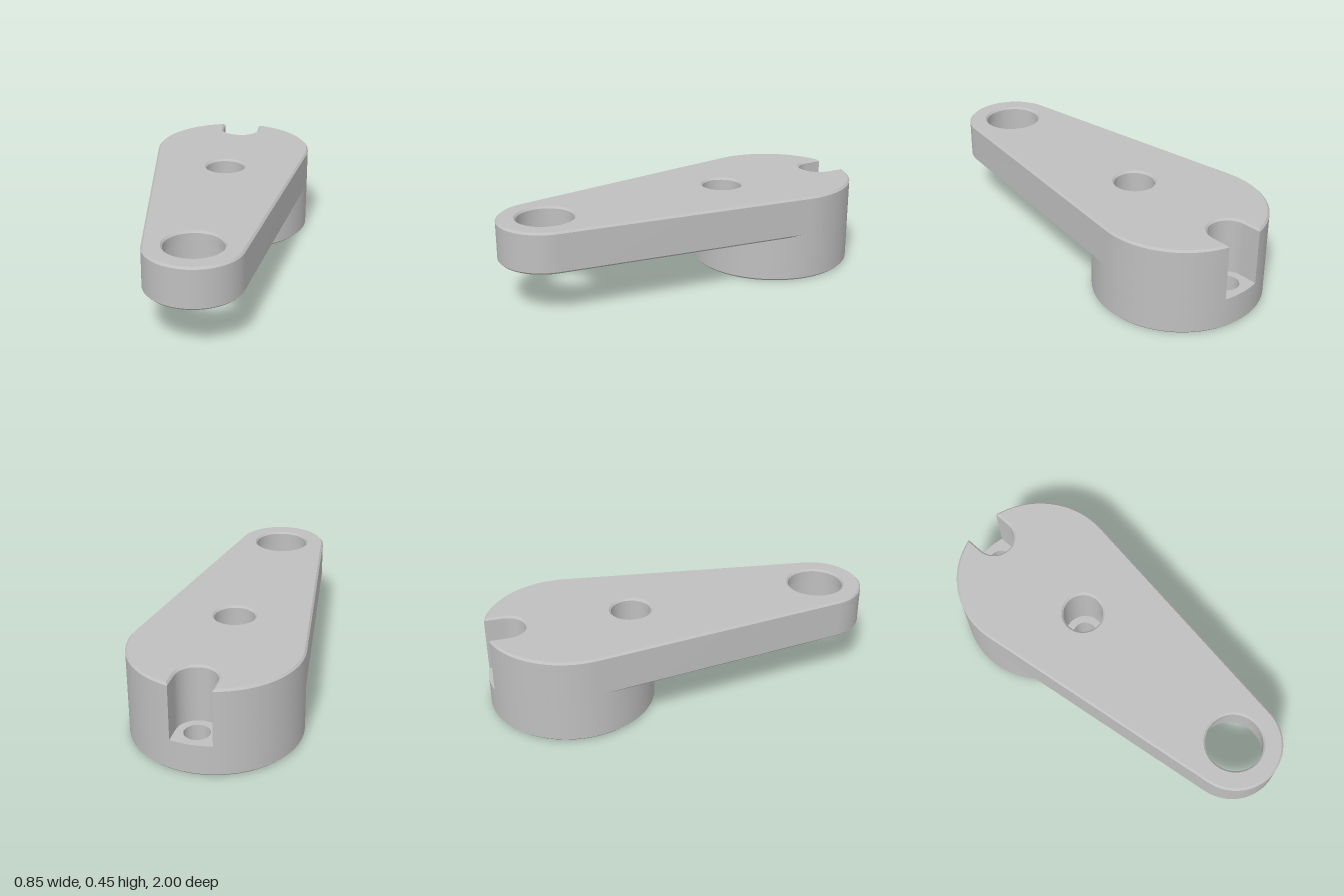
import * as THREE from 'three';
import { toCreasedNormals } from 'three/addons/utils/BufferGeometryUtils.js';

// Plan dimensions (x, z) of the arm: big round boss at the back, small eye at the front
const BOSS_Z = -0.575, BOSS_R = 0.425, EYE_Z = 0.76, EYE_R = 0.24;
const FRONT_SCREW_Z = -0.255, BACK_SCREW_Z = -0.895, SLOT_R = 0.102, SCREW_R = 0.063;
// Heights
const FLOOR = 0.16, UNDER = 0.24, TOP = 0.45, C = 0.01;
const PI = Math.PI, TILT = Math.asin((BOSS_R - EYE_R) / (EYE_Z - BOSS_Z));

// Points of an arc around (0, z)
function arc(z, r, a0, a1, n = 48) {
  return Array.from({ length: n + 1 }, (_, i) => {
    const a = a0 + (a1 - a0) * i / n;
    return new THREE.Vector2(r * Math.cos(a), z + r * Math.sin(a));
  });
}
const circle = (z, r) => arc(z, r, 0, 2 * PI, 96).slice(0, -1);

// Tapered plate outline with the open slot at the back, inset by d
function plateOutline(d) {
  const R = BOSS_R - d, s = SLOT_R + d, b = Math.asin(s / R);
  return [
    ...arc(EYE_Z, EYE_R - d, TILT, PI - TILT),
    ...arc(BOSS_Z, R, PI - TILT, 1.5 * PI - b),
    ...arc(BACK_SCREW_Z, s, PI, 0),
    ...arc(BOSS_Z, R, 1.5 * PI + b, 2 * PI + TILT),
  ];
}

// Boss outline with slots at front and back
const B = Math.asin(SLOT_R / BOSS_R);
const slottedBoss = [
  ...arc(BOSS_Z, BOSS_R, -PI / 2 + B, PI / 2 - B, 64),
  ...arc(FRONT_SCREW_Z, SLOT_R, 0, -PI),
  ...arc(BOSS_Z, BOSS_R, PI / 2 + B, 1.5 * PI - B, 64),
  ...arc(BACK_SCREW_Z, SLOT_R, PI, 0),
];

// Skin through [loop, y] sections: upward faces outward, downward makes a hole
function loft(sections) {
  const pos = [];
  for (let k = 0; k < sections.length - 1; k++) {
    const [A, ya] = sections[k], [D, yd] = sections[k + 1];
    for (let i = 0; i < A.length; i++) {
      const j = (i + 1) % A.length;
      const a = [A[i].x, ya, A[i].y], b = [A[j].x, ya, A[j].y];
      const c = [D[j].x, yd, D[j].y], d = [D[i].x, yd, D[i].y];
      pos.push(...a, ...d, ...b, ...b, ...d, ...c);
    }
  }
  const g = new THREE.BufferGeometry();
  g.setAttribute('position', new THREE.Float32BufferAttribute(pos, 3));
  return toCreasedNormals(g, PI / 6);
}

// Flat face with holes at height y
function face(outline, holes, y, up) {
  const shape = new THREE.Shape(outline);
  shape.holes = holes.map(h => new THREE.Path(h));
  const g = new THREE.ShapeGeometry(shape).rotateX(PI / 2).translate(0, y, 0);
  if (up) {
    g.index.array.reverse();
    g.computeVertexNormals();
  }
  return g;
}

export function createModel() {
  const model = new THREE.Group();
  model.name = 'crankArm';
  const steel = new THREE.MeshStandardMaterial({ color: 0xbfbfbf });
  steel.name = 'steelGrey';
  const add = (parent, name, geometry) => {
    const mesh = new THREE.Mesh(geometry, steel);
    mesh.name = name;
    parent.add(mesh);
  };
  const part = name => {
    const g = new THREE.Group();
    g.name = name;
    model.add(g);
    return g;
  };

  // Tapered arm plate with chamfered rims
  const arm = part('arm');
  const inset = plateOutline(C), full = plateOutline(0);
  add(arm, 'armSide', loft([[inset, UNDER], [full, UNDER + C], [full, TOP - C], [inset, TOP]]));
  add(arm, 'armTop', face(inset, [circle(EYE_Z, 0.152), circle(FRONT_SCREW_Z, SLOT_R + C)], TOP, true));
  add(arm, 'armUnderside', face(inset, [circle(EYE_Z, 0.17), circle(FRONT_SCREW_Z, SLOT_R)], UNDER, false));

  // Stepped bore of the eye, with a narrow lip at the top
  const bore = [[0.152, TOP], [0.143, TOP - C], [0.143, 0.39], [0.16, 0.39], [0.16, UNDER + C], [0.17, UNDER]];
  add(arm, 'eyeBore', loft(bore.map(([r, y]) => [circle(EYE_Z, r), y])));

  // Counterbore through the arm
  const counterbore = [[SLOT_R + C, TOP], [SLOT_R, TOP - C], [SLOT_R, UNDER]];
  add(arm, 'counterbore', loft(counterbore.map(([r, y]) => [circle(FRONT_SCREW_Z, r), y])));

  // Round boss: solid foot, slotted upper part
  const boss = part('boss');
  const foot = circle(BOSS_Z, BOSS_R), footInset = circle(BOSS_Z, BOSS_R - C);
  const screws = [FRONT_SCREW_Z, BACK_SCREW_Z].map(z => circle(z, SCREW_R));
  add(boss, 'bossFoot', loft([[footInset, 0], [foot, C], [foot, FLOOR]]));
  add(boss, 'bossBottom', face(footInset, screws, 0, false));
  add(boss, 'bossUpperWall', loft([[slottedBoss, FLOOR], [slottedBoss, UNDER + C]]));

  // Slot floors and screw holes
  const floors = [
    [...arc(BOSS_Z, BOSS_R, PI / 2 - B, PI / 2 + B, 16), ...arc(FRONT_SCREW_Z, SLOT_R, -PI, 0)],
    [...arc(BOSS_Z, BOSS_R, 1.5 * PI - B, 1.5 * PI + B, 16), ...arc(BACK_SCREW_Z, SLOT_R, 0, PI)],
  ];
  ['front', 'back'].forEach((side, i) => {
    add(boss, side + 'SlotFloor', face(floors[i], [screws[i]], FLOOR, true));
    add(boss, side + 'ScrewHole', loft([[screws[i], FLOOR], [screws[i], 0]]));
  });
  return model;
}
